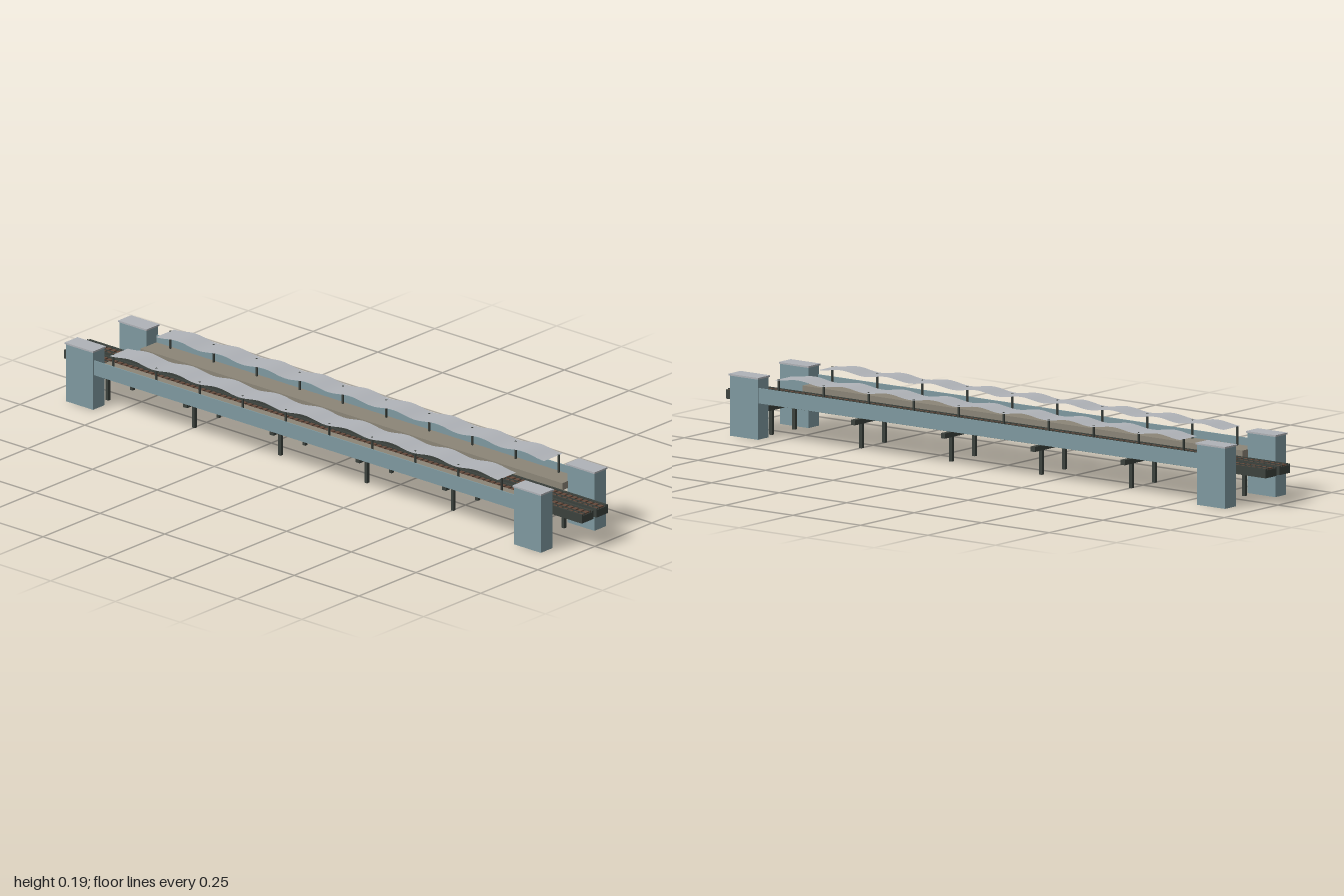
import * as THREE from 'three';

const material = (name, color, side = THREE.FrontSide) => {
  const m = new THREE.MeshStandardMaterial({ color, side });
  m.name = name;
  return m;
};

export function createModel() {
  const model = new THREE.Group();
  model.name = 'elevatedStation';
  const glass = material('blue grey panel', 0x7f9aa1);
  const platformTan = material('platform tan', 0x8c8678);
  const steel = material('dark steel', 0x3c423d);
  const timber = material('sleeper brown', 0x64493b);
  const roofGrey = material('roof grey', 0xb0b3b8, THREE.DoubleSide);

  // Box given by its limits on each axis
  const box = (name, mat, [x0, x1], [y0, y1], [z0, z1], parent = model) => {
    const mesh = new THREE.Mesh(new THREE.BoxGeometry(x1 - x0, y1 - y0, z1 - z0), mat);
    mesh.position.set((x0 + x1) / 2, (y0 + y1) / 2, (z0 + z1) / 2);
    mesh.name = name;
    parent.add(mesh);
    return mesh;
  };
  const span = (c, w) => [c - w / 2, c + w / 2];
  const mirrored = (s, a, b) => (s > 0 ? [a, b] : [-b, -a]);

  // Trestles: cross beam on two legs
  for (let i = 0; i < 6; i++) {
    const x = -0.8333 + i / 3;
    const trestle = new THREE.Group();
    trestle.name = 'trestle';
    box('crossBeam', steel, span(x, 0.015), [0.073, 0.088], [-0.094, 0.094], trestle);
    for (const s of [-1, 1]) {
      box('leg', steel, span(x, 0.01), [0, 0.074], span(s * 0.0535, 0.01), trestle);
    }
    model.add(trestle);
  }

  for (const s of [-1, 1]) {
    // Track: girder, sleepers and rails
    const track = new THREE.Group();
    track.name = 'track';
    const zc = s * 0.032;
    box('girder', steel, [-1, 1], [0.087, 0.11], span(zc, 0.042), track);
    for (const d of [-1, 1]) {
      box('kerb', steel, [-1, 1], [0.087, 0.114], span(zc + d * 0.0225, 0.005), track);
      box('rail', steel, [-1, 1], [0.11, 0.117], span(zc + d * 0.0125, 0.002), track);
    }
    const count = 100;
    const sleepers = new THREE.InstancedMesh(new THREE.BoxGeometry(0.013, 0.004, 0.038), timber, count);
    sleepers.name = 'sleepers';
    const place = new THREE.Matrix4();
    for (let i = 0; i < count; i++) {
      sleepers.setMatrixAt(i, place.makeTranslation(-0.99 + i * 0.02, 0.112, zc));
    }
    track.add(sleepers);
    model.add(track);

    // Platform with its outer screen
    box('platform', platformTan, [-0.815, 0.815], [0.107, 0.129], mirrored(s, 0.067, 0.136));
    box('screen', glass, [-0.815, 0.815], [0.107, 0.152], mirrored(s, 0.136, 0.139));

    // Canopy posts
    for (let i = 0; i < 10; i++) {
      box('canopyPost', steel, span(-0.75 + i / 6, 0.005), [0.128, 0.184], span(s * 0.125, 0.005));
    }

    // Canopy: thin sheet rippling along its length
    const sheet = new THREE.PlaneGeometry(1.5, 0.08, 144, 1);
    sheet.rotateX(-Math.PI / 2);
    const p = sheet.attributes.position;
    for (let i = 0; i < p.count; i++) {
      p.setY(i, 0.1875 - 0.0045 * Math.cos((p.getX(i) + 0.75) * 12 * Math.PI));
    }
    sheet.computeVertexNormals();
    const canopy = new THREE.Mesh(sheet, roofGrey);
    canopy.name = 'canopy';
    canopy.position.z = s * 0.101;
    model.add(canopy);

    // Stair towers with flat caps
    for (const e of [-1, 1]) {
      box('tower', glass, mirrored(e, 0.813, 0.917), [0, 0.178], mirrored(s, 0.092, 0.1425));
      box('towerCap', roofGrey, mirrored(e, 0.81, 0.92), [0.178, 0.183], mirrored(s, 0.089, 0.1455));
    }
  }
  return model;
}
